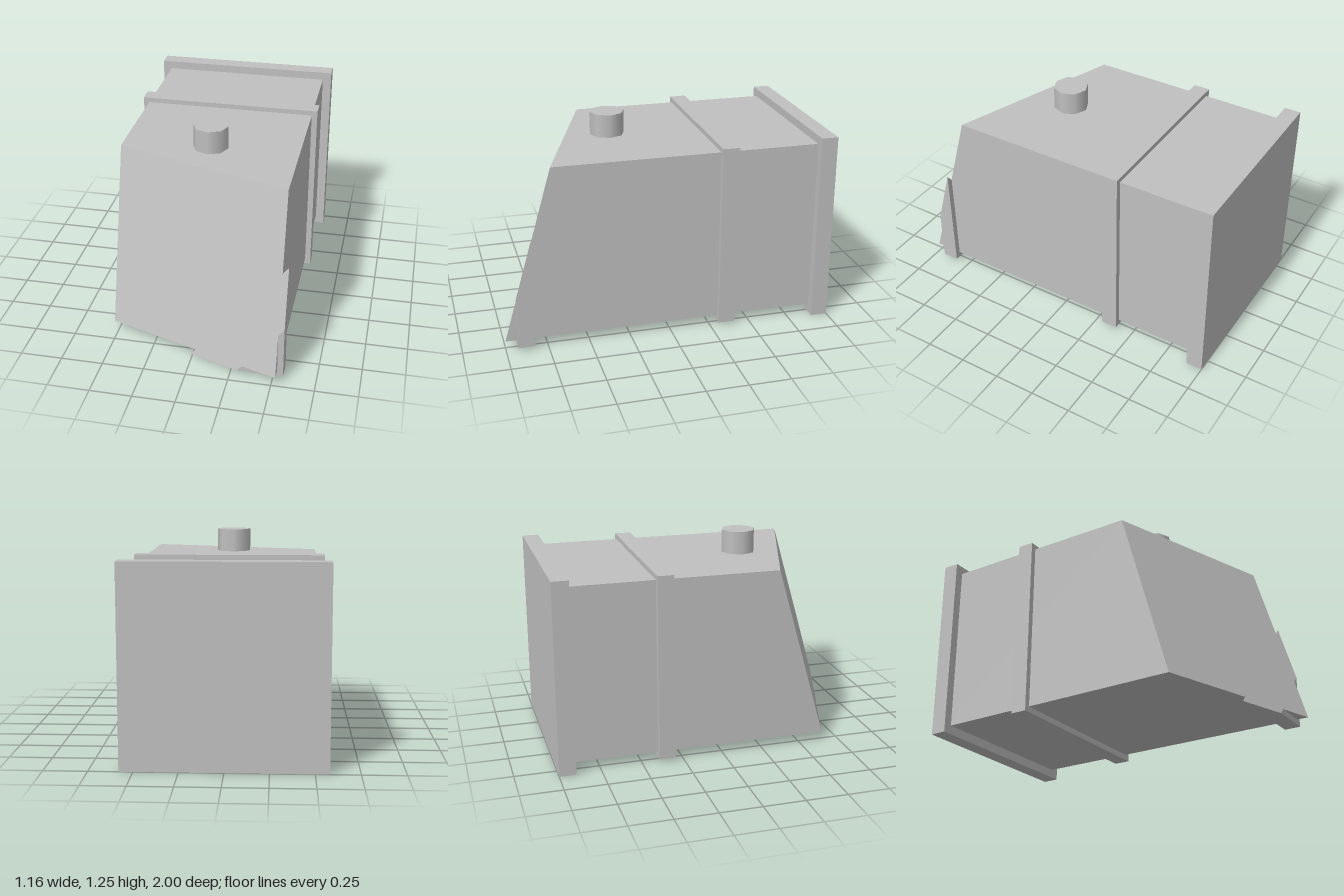
import * as THREE from 'three';
import { ConvexGeometry } from 'three/addons/geometries/ConvexGeometry.js';

const W = 0.525, BOTTOM = 0.055, TOP = 1.11;

// Slanted nose plane: leans back with height and sweeps back towards -x.
const noseZ = (x, y) => 1 - 0.2844 * (y - BOTTOM) + 0.338 * (x - W);
const noseX = (y, z) => W + (z - 1 + 0.2844 * (y - BOTTOM)) / 0.338;
const noseY = (x, z) => BOTTOM + (1 - z + 0.338 * (x - W)) / 0.2844;

export function createModel() {
  const group = new THREE.Group();
  const grey = new THREE.MeshStandardMaterial({ color: 0xc0c0c0 });
  grey.name = 'grey';

  const add = (name, geometry, x = 0, y = 0, z = 0) => {
    const mesh = new THREE.Mesh(geometry, grey);
    mesh.name = name;
    mesh.position.set(x, y, z);
    group.add(mesh);
  };

  // Main box with the skewed nose
  const corners = [];
  for (const x of [-W, W]) {
    for (const y of [BOTTOM, TOP]) {
      corners.push(new THREE.Vector3(x, y, -0.95), new THREE.Vector3(x, y, noseZ(x, y)));
    }
  }
  add('body', new ConvexGeometry(corners));

  // Rear flange and middle band
  add('rearFlange', new THREE.BoxGeometry(1.16, 1.16, 0.1), 0, 0.58, -0.95);
  add('middleBand', new THREE.BoxGeometry(1.12, 1.12, 0.1), 0, 0.58, -0.35);

  // Front band: only the lower left corner remains behind the nose plane
  const edge = 0.56, base = 0.02, cut = [];
  for (const z of [0.83, 0.93]) {
    cut.push(
      new THREE.Vector3(edge, base, z),
      new THREE.Vector3(edge, noseY(edge, z), z),
      new THREE.Vector3(noseX(base, z), base, z)
    );
  }
  add('frontBand', new ConvexGeometry(cut));

  // Short eight-sided cap on the roof
  add('roofCap', new THREE.CylinderGeometry(0.105, 0.105, 0.16, 8), 0, 1.17, 0.26);

  return group;
}
